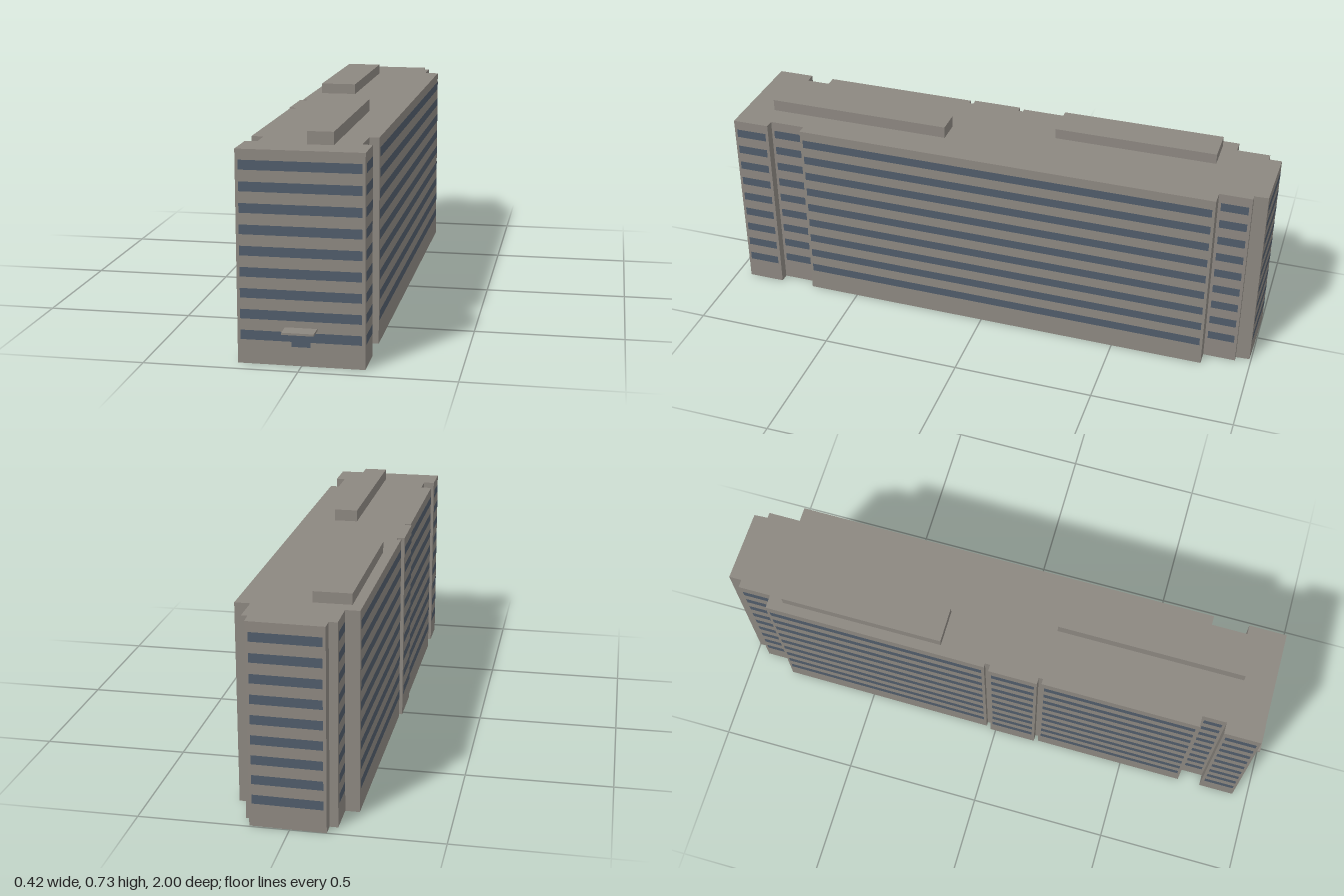
import * as THREE from 'three';
import { mergeGeometries } from 'three/addons/utils/BufferGeometryUtils.js';

const ROOF_Y = 0.688;

// Footprint corners [x, z], counter-clockwise seen from above, from the front right corner
const FOOTPRINT = [
  [-0.205, 0.945], [0.203, 0.945], [0.203, 0.812], [0.17, 0.812], [0.17, 0.685], [0.203, 0.685],
  [0.207, -0.83], [0.155, -0.83], [0.155, -0.945], [0.135, -0.945], [0.132, -0.994], [-0.12, -1],
  [-0.12, -0.955], [-0.148, -0.955], [-0.148, -0.838], [-0.196, -0.838], [-0.2, -0.038], [-0.185, -0.038],
  [-0.185, -0.02], [-0.209, -0.02], [-0.209, 0.155], [-0.185, 0.155], [-0.185, 0.17], [-0.204, 0.17],
  [-0.205, 0.73], [-0.165, 0.73], [-0.165, 0.815], [-0.205, 0.815],
];

// Upright panel along one footprint edge, facing outward
function panel(a, b, y0, y1, inset = 0, offset = 0) {
  const dx = b[0] - a[0], dz = b[1] - a[1];
  const length = Math.hypot(dx, dz);
  const g = new THREE.PlaneGeometry(length - 2 * inset, y1 - y0);
  g.translate(0, 0, offset);
  g.rotateY(Math.atan2(-dz, dx));
  return g.translate((a[0] + b[0]) / 2, (y0 + y1) / 2, (a[1] + b[1]) / 2);
}

export function createModel() {
  const model = new THREE.Group();
  model.name = 'officeBlock';
  const concrete = new THREE.MeshStandardMaterial({ color: 0x8c8780, side: THREE.DoubleSide });
  concrete.name = 'concrete';
  const glass = new THREE.MeshStandardMaterial({ color: 0x505c6a });
  glass.name = 'glass';

  const add = (name, geometry, material) => {
    const mesh = new THREE.Mesh(geometry, material);
    mesh.name = name;
    model.add(mesh);
  };
  const addBox = (name, x0, x1, y0, y1, z0, z1) => add(name,
    new THREE.BoxGeometry(x1 - x0, y1 - y0, z1 - z0)
      .translate((x0 + x1) / 2, (y0 + y1) / 2, (z0 + z1) / 2), concrete);

  // Walls, with nine window bands on every wall that is wide enough
  const walls = [], bands = [];
  FOOTPRINT.forEach((a, i) => {
    const b = FOOTPRINT[(i + 1) % FOOTPRINT.length];
    walls.push(panel(a, b, 0, ROOF_Y));
    if (Math.hypot(b[0] - a[0], b[1] - a[1]) < 0.08) return;
    for (let floor = 0; floor < 9; floor++) {
      const y = 0.079 + floor * 0.068;
      bands.push(panel(a, b, y, y + 0.031, 0.01, 0.0015));
    }
  });
  add('walls', mergeGeometries(walls), concrete);
  add('windowBands', mergeGeometries(bands), glass);

  // Flat roof; the underside of the building stays open
  const outline = new THREE.Shape(FOOTPRINT.map(([x, z]) => new THREE.Vector2(x, -z)));
  add('roof', new THREE.ShapeGeometry(outline).rotateX(-Math.PI / 2).translate(0, ROOF_Y, 0), concrete);

  // Plant rooms on the roof
  addBox('rearPlantRoom', -0.162, -0.034, ROOF_Y, 0.725, -0.785, -0.205);
  addBox('frontPlantRoom', 0, 0.085, ROOF_Y, 0.73, 0.172, 0.838);

  // Entrance
  add('entranceDoor', panel([-0.031, 0.945], [0.03, 0.945], 0.063, 0.113, 0, 0.003), glass);
  addBox('entranceCanopy', -0.052, 0.051, 0.118, 0.125, 0.945, 1);

  return model;
}
